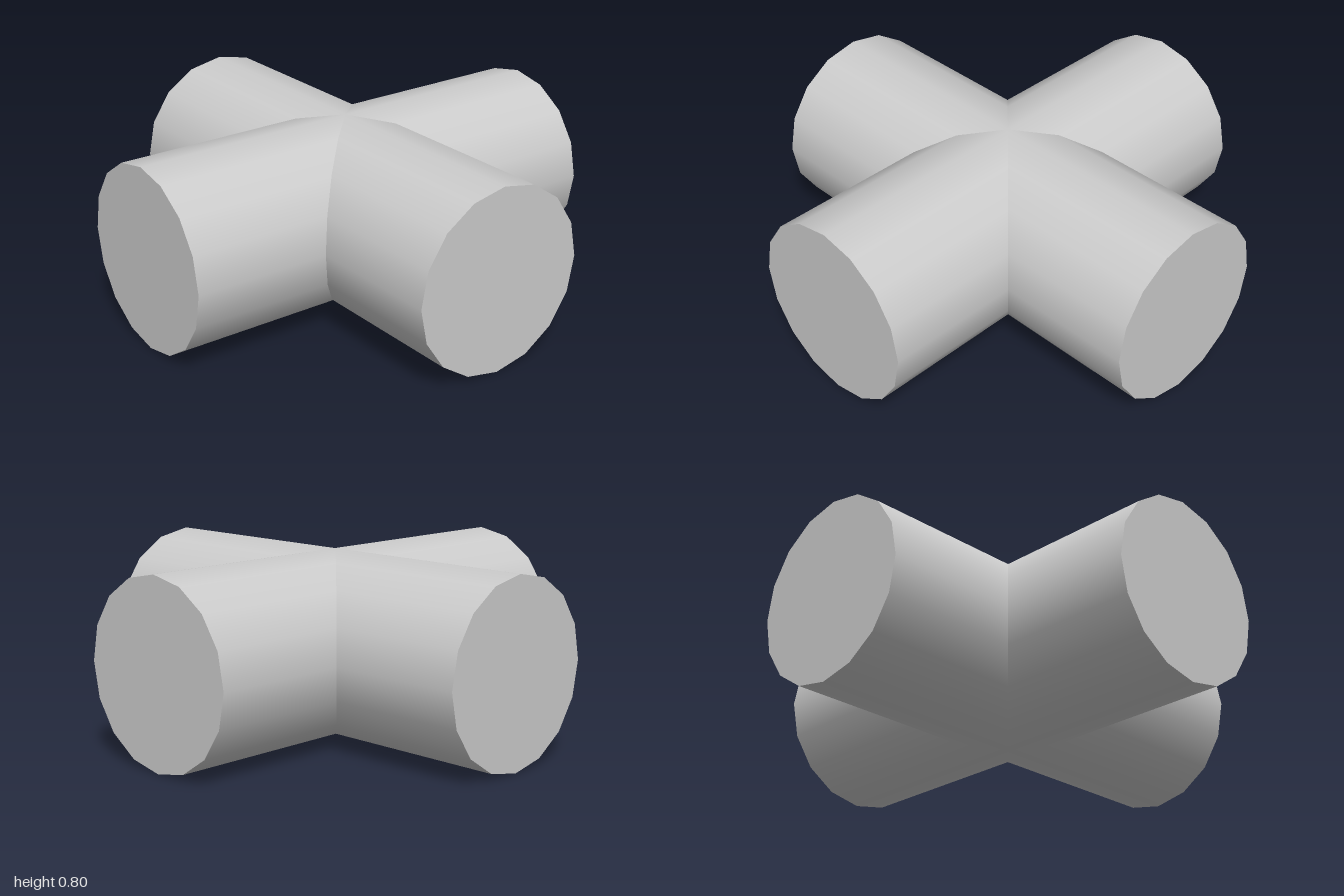
import * as THREE from 'three';

const RADIUS = 0.4, LENGTH = 1, SIDES = 16;

// Open tube along +z whose inner end is mitred at 45 degrees to meet its neighbours
function mitredTube() {
  const geo = new THREE.CylinderGeometry(RADIUS, RADIUS, LENGTH, SIDES, 1, true);
  geo.translate(0, LENGTH / 2, 0);
  const pos = geo.attributes.position;
  for (let i = 0; i < pos.count; i++) {
    if (pos.getY(i) < 0.01) pos.setY(i, Math.abs(pos.getX(i)));
  }
  geo.rotateX(Math.PI / 2);
  return geo;
}

export function createModel() {
  const model = new THREE.Group();
  model.name = 'pipeCross';
  const grey = new THREE.MeshStandardMaterial({ color: 0xcccccc });
  grey.name = 'light grey';

  const tubeGeo = mitredTube();
  const capGeo = new THREE.CircleGeometry(RADIUS, SIDES).translate(0, 0, LENGTH);

  // Four identical arms around the vertical axis
  ['frontArm', 'leftArm', 'backArm', 'rightArm'].forEach((name, i) => {
    const arm = new THREE.Group();
    arm.name = name;
    const tube = new THREE.Mesh(tubeGeo, grey);
    tube.name = name + 'Tube';
    const cap = new THREE.Mesh(capGeo, grey);
    cap.name = name + 'EndCap';
    arm.add(tube, cap);
    arm.position.y = RADIUS;
    arm.rotation.y = i * Math.PI / 2;
    model.add(arm);
  });
  return model;
}
